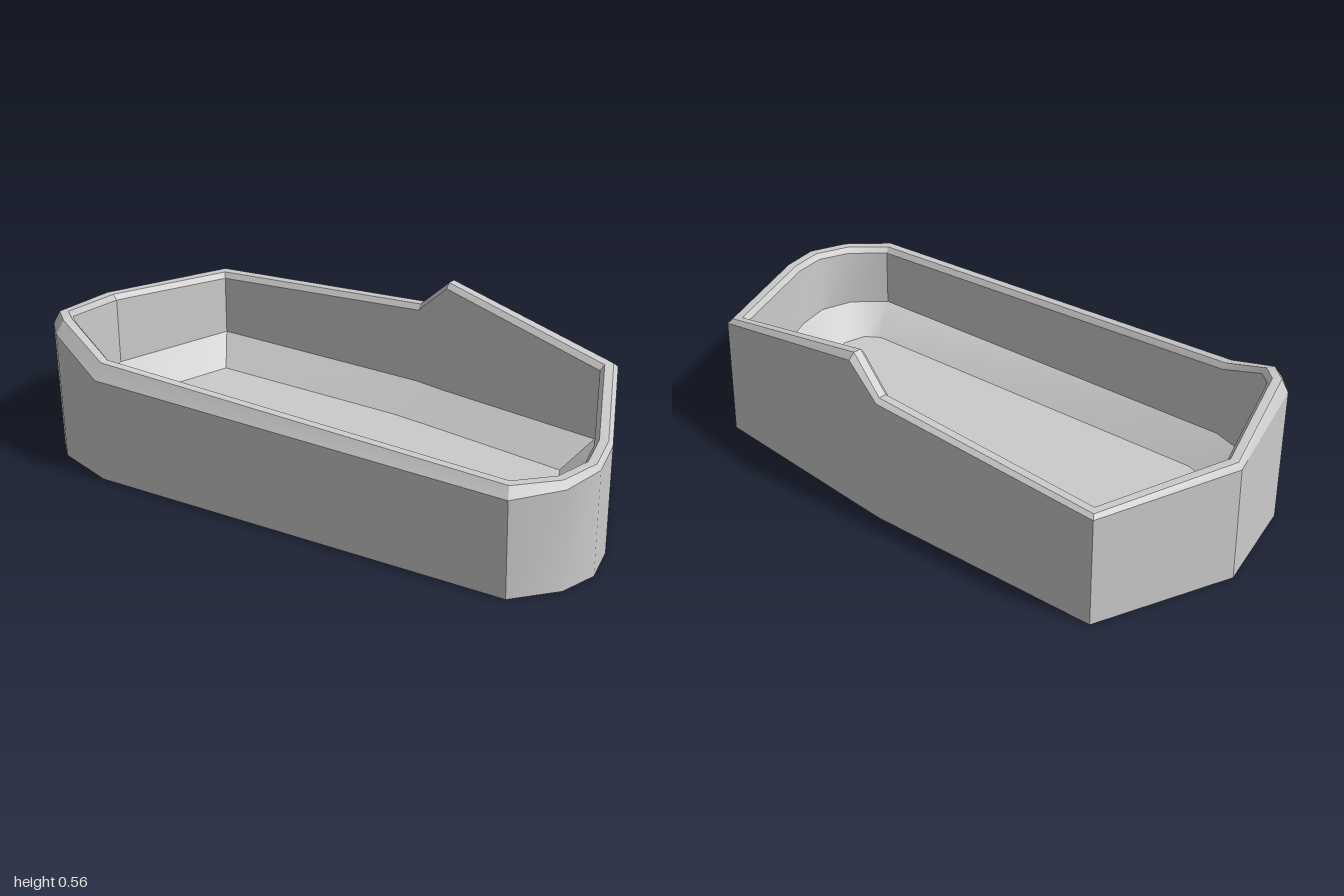
import * as THREE from 'three';
import { toCreasedNormals } from 'three/addons/utils/BufferGeometryUtils.js';

// Plan corners, clockwise from above, starting at the back:
// x, z, top of outer wall, rim height, rim bevel width, floor x, floor z
const CORNERS = [
  [-0.82, -0.47, 0.375, 0.387, 0.014, -0.71, -0.31],
  [0.02, -0.498, 0.43, 0.445, 0.015, 0.0, -0.33],
  [0.14, -0.49, 0.535, 0.556, 0.02, 0.12, -0.323],
  [0.77, -0.443, 0.41, 0.425, 0.015, 0.66, -0.285],
  [0.97, 0.0, 0.375, 0.39, 0.014, 0.8, 0.02],
  [1.0, 0.14, 0.365, 0.382, 0.014, 0.82, 0.13],
  [0.96, 0.28, 0.352, 0.376, 0.018, 0.8, 0.21],
  [0.84, 0.413, 0.342, 0.375, 0.028, 0.75, 0.245],
  [-0.63, 0.495, 0.367, 0.42, 0.03, -0.59, 0.315],
  [-0.84, 0.433, 0.455, 0.5, 0.028, -0.72, 0.28],
  [-0.905, 0.37, 0.455, 0.5, 0.022, -0.765, 0.245],
  [-1.0, 0.0, 0.395, 0.415, 0.014, -0.825, 0.0],
];
const FLOOR_Y = 0.07;
const WALL_FOOT_Y = 0.16;
const N = CORNERS.length;

// Mitred point a given distance inside the outline
function inset(i, d) {
  const at = (k) => new THREE.Vector2(CORNERS[(k + N) % N][0], CORNERS[(k + N) % N][1]);
  const p = at(i);
  const a = p.clone().sub(at(i - 1)).normalize();
  const b = at(i + 1).sub(p).normalize();
  const n = new THREE.Vector2(-a.y - b.y, a.x + b.x).normalize();
  return p.addScaledVector(n, d / (-a.y * n.x + a.x * n.y));
}

// Joins successive rings of points with quads
function loft(rings) {
  const index = [];
  for (let r = 0; r < rings.length - 1; r++) {
    for (let i = 0; i < N; i++) {
      const a = r * N + i, b = r * N + ((i + 1) % N);
      index.push(a, a + N, b, b, a + N, b + N);
    }
  }
  return build(rings.flat(2), index);
}

// Closes one ring with a flat face
function cap(ring, up) {
  const index = [];
  for (let i = 1; i < N - 1; i++) index.push(0, up ? i + 1 : i, up ? i : i + 1);
  return build(ring.flat(), index);
}

function build(pos, index) {
  const g = new THREE.BufferGeometry();
  g.setAttribute('position', new THREE.Float32BufferAttribute(pos, 3));
  g.setIndex(index);
  return toCreasedNormals(g, THREE.MathUtils.degToRad(30));
}

export function createModel() {
  const group = new THREE.Group();
  group.name = 'basin';
  const material = new THREE.MeshStandardMaterial({ color: 0xcccccc });
  const add = (name, geometry) => {
    const mesh = new THREE.Mesh(geometry, material);
    mesh.name = name;
    group.add(mesh);
  };
  // A ring set in from the outline, with a height taken from each corner
  const ringAt = (width, height) => CORNERS.map((c, i) => {
    const p = inset(i, width(c));
    return [p.x, height(c), p.y];
  });

  // The front wall leans out slightly towards the top
  const base = CORNERS.map(([x, z]) => [x, 0, z > 0.2 ? z - 0.012 : z]);
  const wallTop = CORNERS.map(([x, z, y]) => [x, y, z]);
  const crestOuter = ringAt((c) => c[4], (c) => c[3]);
  const crestInner = ringAt((c) => c[4] + 0.028, (c) => c[3]);
  const lip = ringAt((c) => c[4] + 0.042, (c) => c[3] - 0.018);
  const wallFoot = ringAt((c) => c[4] + 0.045, () => WALL_FOOT_Y);
  const floor = CORNERS.map((c) => [c[5], FLOOR_Y, c[6]]);

  add('outerWall', loft([base, wallTop]));
  add('rim', loft([wallTop, crestOuter, crestInner, lip]));
  add('innerWall', loft([lip, wallFoot]));
  add('floorSlope', loft([wallFoot, floor]));
  add('floor', cap(floor, true));
  add('underside', cap(base, false));
  return group;
}
